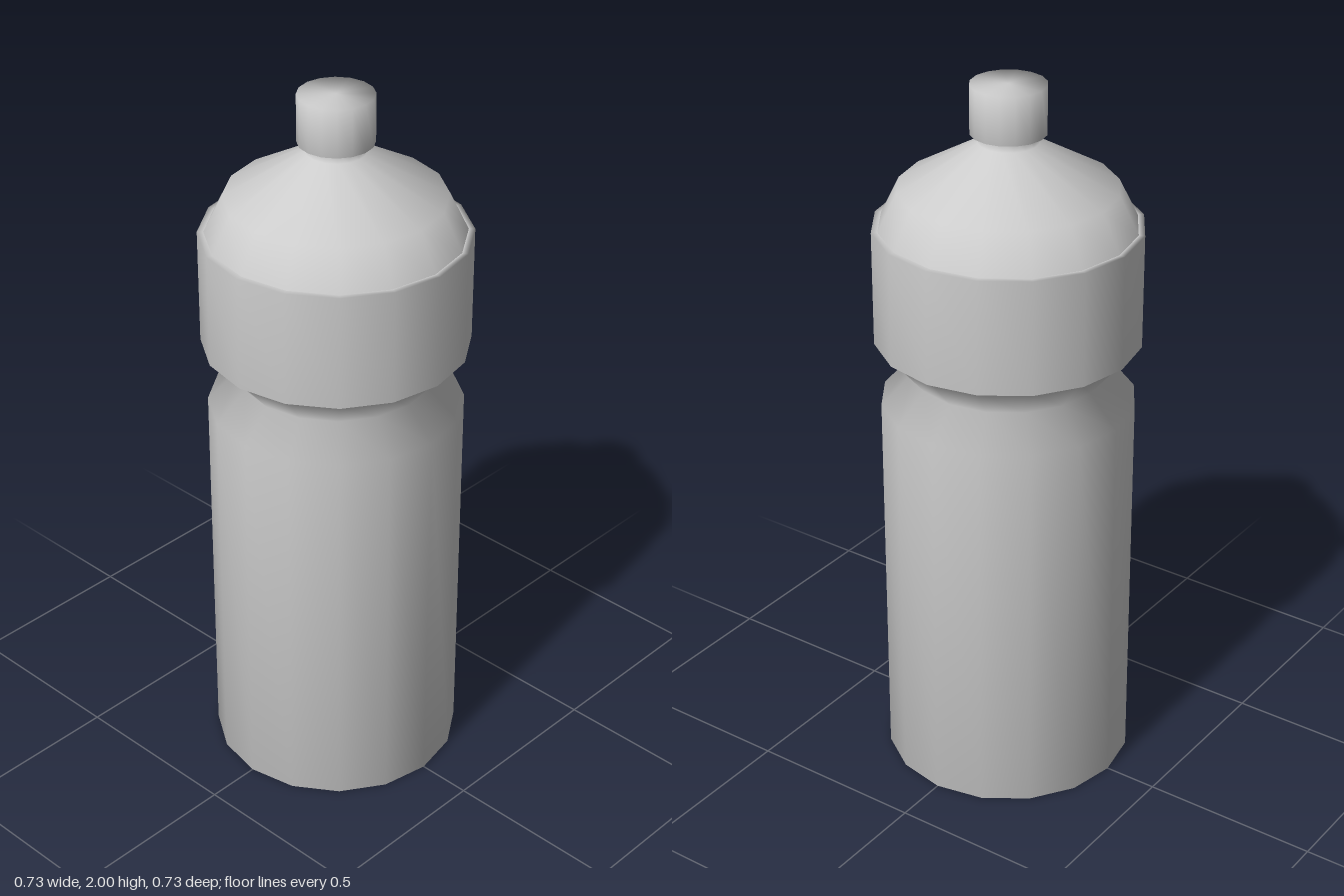
import * as THREE from 'three';
import { mergeVertices } from 'three/addons/utils/BufferGeometryUtils.js';

const SIDES = 16;

// Turned part from [radius, height] pairs, bottom to top, with shared smooth normals
function turned(name, profile, material) {
  const points = profile.map(([r, y]) => new THREE.Vector2(r, y));
  const lathe = new THREE.LatheGeometry(points, SIDES);
  lathe.deleteAttribute('uv');
  lathe.deleteAttribute('normal');
  const geometry = mergeVertices(lathe, 1e-4);
  geometry.computeVertexNormals();
  const mesh = new THREE.Mesh(geometry, material);
  mesh.name = name;
  return mesh;
}

export function createModel() {
  const group = new THREE.Group();
  group.name = 'sportsBottle';
  const material = new THREE.MeshStandardMaterial({ color: 0xcccccc });

  // Bottle body with its grip groove
  group.add(turned('body', [
    [0, 0], [0.348, 0], [0.348, 1.105], [0.265, 1.19], [0.349, 1.29],
  ], material));

  // Wide screw collar, stepping out from body and dome
  group.add(turned('collar', [
    [0.34, 1.29], [0.363, 1.29], [0.363, 1.612], [0.346, 1.612],
  ], material));

  // Sloped lid and narrow neck
  group.add(turned('lid', [
    [0.346, 1.612], [0.295, 1.717], [0.08, 1.842], [0.08, 1.868],
  ], material));

  // Drinking spout
  group.add(turned('spout', [
    [0.08, 1.868], [0.102, 1.868], [0.102, 2], [0, 2],
  ], material));

  return group;
}
